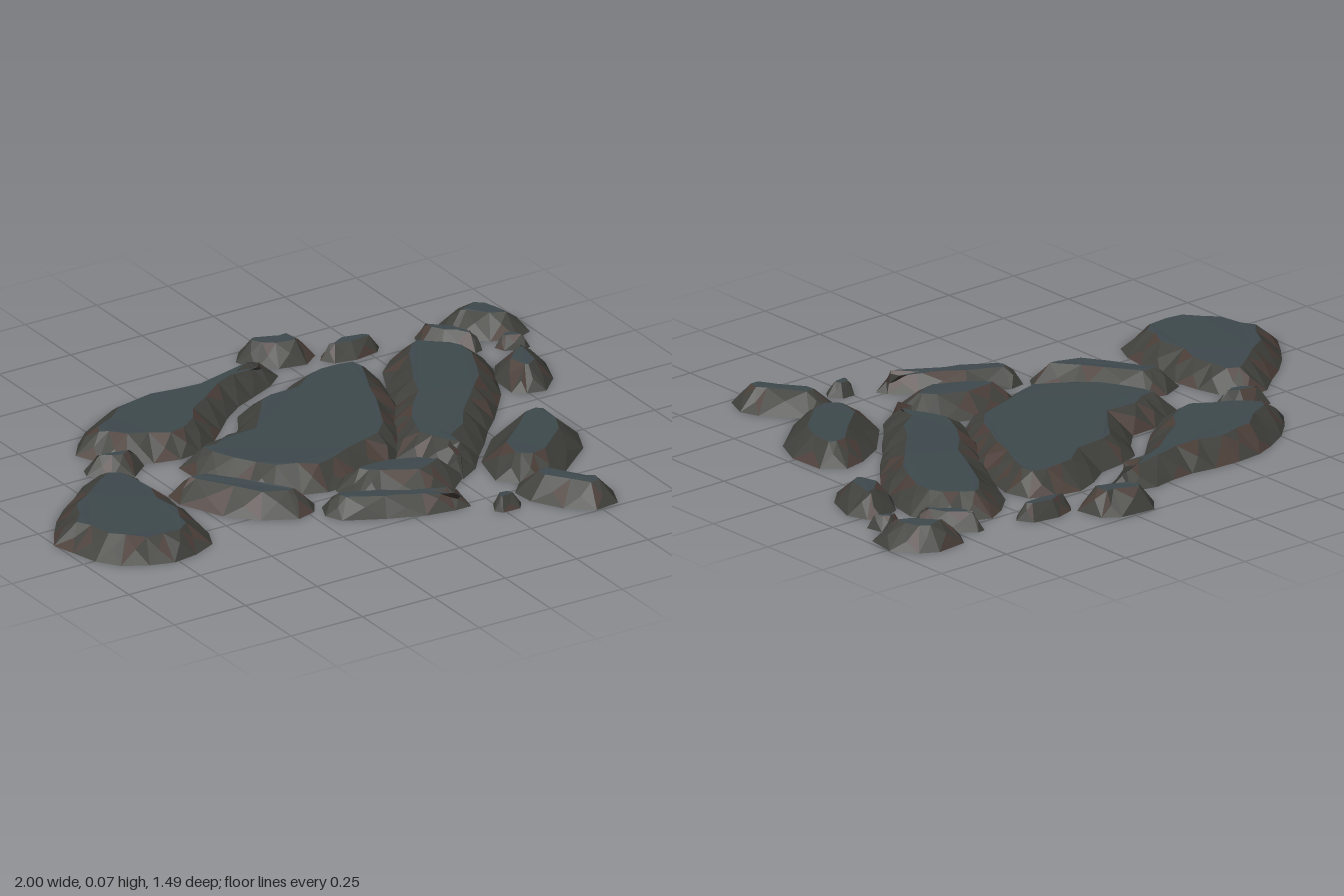
import * as THREE from 'three';

const mat = (color) => new THREE.MeshStandardMaterial({ color, flatShading: true, side: THREE.DoubleSide });
const slate = mat(0x3e494d), earth = mat(0x40403c), rust = mat(0x4b3e39);

// Big irregular slabs: a few outline points on the ground, as x, z pairs
const SLABS = {
  westSlab: [-1, 0.09, -0.8, -0.14, -0.66, -0.215, -0.575, -0.14, -0.56, 0.22, -0.6, 0.33, -0.77, 0.38, -0.93, 0.3, -0.985, 0.18],
  northSlab: [-0.61, -0.4, -0.38, -0.59, -0.02, -0.59, 0.045, -0.615, 0.195, -0.55, -0.055, -0.41, -0.25, -0.24, -0.41, -0.215, -0.59, -0.33],
  centreSlab: [-0.4, -0.16, -0.29, -0.23, -0.16, -0.24, -0.035, -0.4, 0.07, -0.4, 0.235, -0.485, 0.415, -0.425, 0.41, -0.3, 0.33, -0.09, 0.19, 0.11, -0.12, 0.22, -0.31, 0.1],
  eastSlab: [0.595, -0.5, 0.7, -0.445, 0.76, -0.335, 0.68, -0.1, 0.54, 0.07, 0.265, 0.35, 0.245, 0.24, 0.17, 0.16, 0.2, 0.04, 0.38, -0.24, 0.465, -0.4],
};

// Smaller rounded stones: centre x, centre z, half length, half width, turn in degrees, taper
const STONES = {
  southWestStone: [-0.37, 0.14, 0.23, 0.11, 52],
  southStone: [0.09, 0.28, 0.2, 0.12, 18],
  southSliver: [-0.02, 0.42, 0.225, 0.065, 27, -0.4],
  southEastStone: [0.54, 0.3, 0.235, 0.145, 132],
  southTipStone: [0.465, 0.605, 0.165, 0.095, 52],
  southPebble: [0.27, 0.58, 0.05, 0.038, 0],
  eastStone: [0.805, -0.165, 0.135, 0.09, 115],
  northStone: [0.25, -0.66, 0.12, 0.085, 20],
  northPebble: [0.45, -0.565, 0.097, 0.05, 0],
  northEastPebble: [0.73, -0.465, 0.115, 0.06, 50],
  northEastStone: [0.88, -0.505, 0.14, 0.1, 35],
  eastPebble: [0.885, -0.35, 0.055, 0.035, 25],
  westPebble: [-0.57, -0.25, 0.095, 0.063, 20],
};

// Small seeded generator for chipped, uneven edges
function seeded(seed) {
  let s = seed * 7919 + 17;
  return () => (s = (s * 16807) % 2147483647) / 2147483647;
}

// Slab outline: points spaced along a closed curve, slightly chipped
function slabOutline(pairs, rand) {
  const corners = [];
  for (let i = 0; i < pairs.length; i += 2) corners.push(new THREE.Vector3(pairs[i], 0, pairs[i + 1]));
  const curve = new THREE.CatmullRomCurve3(corners, true, 'centripetal');
  const chip = () => 0.012 * (rand() - 0.5);
  return curve.getSpacedPoints(Math.round(curve.getLength() / 0.085)).slice(0, -1)
    .map((p) => new THREE.Vector2(p.x + chip(), p.z + chip()));
}

// Stone outline: a tapered oval with uneven corners
function stoneOutline([cx, cz, length, width, degrees, taper = 0], rand) {
  const n = Math.round(5 + 26 * length);
  const full = (v) => Math.sign(v) * Math.abs(v) ** 0.9;
  const turn = THREE.MathUtils.degToRad(degrees);
  return Array.from({ length: n }, (_, i) => {
    const t = ((i + 0.5 * (rand() - 0.5)) / n) * Math.PI * 2;
    const c = Math.cos(t), r = 1.03 - 0.09 * rand();
    const v = width * r * full(Math.sin(t)) * (1 + taper * c);
    return new THREE.Vector2(length * r * full(c), v)
      .rotateAround(new THREE.Vector2(), turn).add(new THREE.Vector2(cx, cz));
  });
}

function meshOf(name, triangles, material) {
  const geo = new THREE.BufferGeometry().setFromPoints(triangles.flat());
  geo.computeVertexNormals();
  const mesh = new THREE.Mesh(geo, material);
  mesh.name = name;
  return mesh;
}

// Hollow shell, open underneath: sloping chipped sides and a worn flat top
function makeShell(name, pts, bevel, h, rand) {
  const n = pts.length;
  const at = (list, i) => list[(i + n) % n];
  const inward = pts.map((p, i) => {
    const d = at(pts, i + 1).clone().sub(p).normalize();
    return new THREE.Vector2(-d.y, d.x);
  });

  // Three rings: ground outline, staggered shoulder, flat crown
  const base = pts.map((p) => new THREE.Vector3(p.x, 0, p.y));
  const crownPlan = pts.map((p, i) => {
    const dir = inward[i].clone().add(at(inward, i - 1)).normalize();
    return p.clone().addScaledVector(dir, bevel * (0.8 + 0.4 * rand()));
  });
  const crown = crownPlan.map((p) => new THREE.Vector3(p.x, h * (0.95 + 0.05 * rand()), p.y));
  const shoulder = pts.map((p, i) => {
    const m = p.clone().lerp(at(pts, i + 1), 0.5);
    const top = crownPlan[i].clone().lerp(at(crownPlan, i + 1), 0.5);
    m.lerp(top, 0.3 + 0.25 * rand());
    return new THREE.Vector3(m.x, h * (0.4 + 0.25 * rand()), m.y);
  });

  // Chipped facets between the rings, some of them rusty
  const earthFaces = [], rustFaces = [];
  const addSide = (...tri) => (rand() < 0.22 ? rustFaces : earthFaces).push(tri);
  for (let i = 0; i < n; i++) {
    const j = (i + 1) % n;
    addSide(base[i], shoulder[i], base[j]);
    addSide(base[j], shoulder[i], crown[j]);
    addSide(base[j], crown[j], shoulder[j]);
    addSide(shoulder[i], crown[i], crown[j]);
  }
  const topFaces = THREE.ShapeUtils.triangulateShape(crownPlan, []).map(([a, b, c]) => [crown[a], crown[c], crown[b]]);

  const stone = new THREE.Group();
  stone.name = name;
  stone.add(
    meshOf('top', topFaces, slate),
    meshOf('chippedSides', earthFaces, earth),
    meshOf('rustySides', rustFaces, rust),
  );
  return stone;
}

export function createModel() {
  const model = new THREE.Group();
  model.name = 'steppingStones';
  Object.entries(SLABS).forEach(([name, pairs], i) => {
    const rand = seeded(i + 1);
    model.add(makeShell(name, slabOutline(pairs, rand), 0.075, 0.066, rand));
  });
  Object.entries(STONES).forEach(([name, spec], i) => {
    const rand = seeded(i + 21), width = spec[3];
    const bevel = Math.min(0.075, 0.7 * width);
    const height = Math.min(0.066, 0.025 + 0.5 * width);
    model.add(makeShell(name, stoneOutline(spec, rand), bevel, height, rand));
  });
  return model;
}
